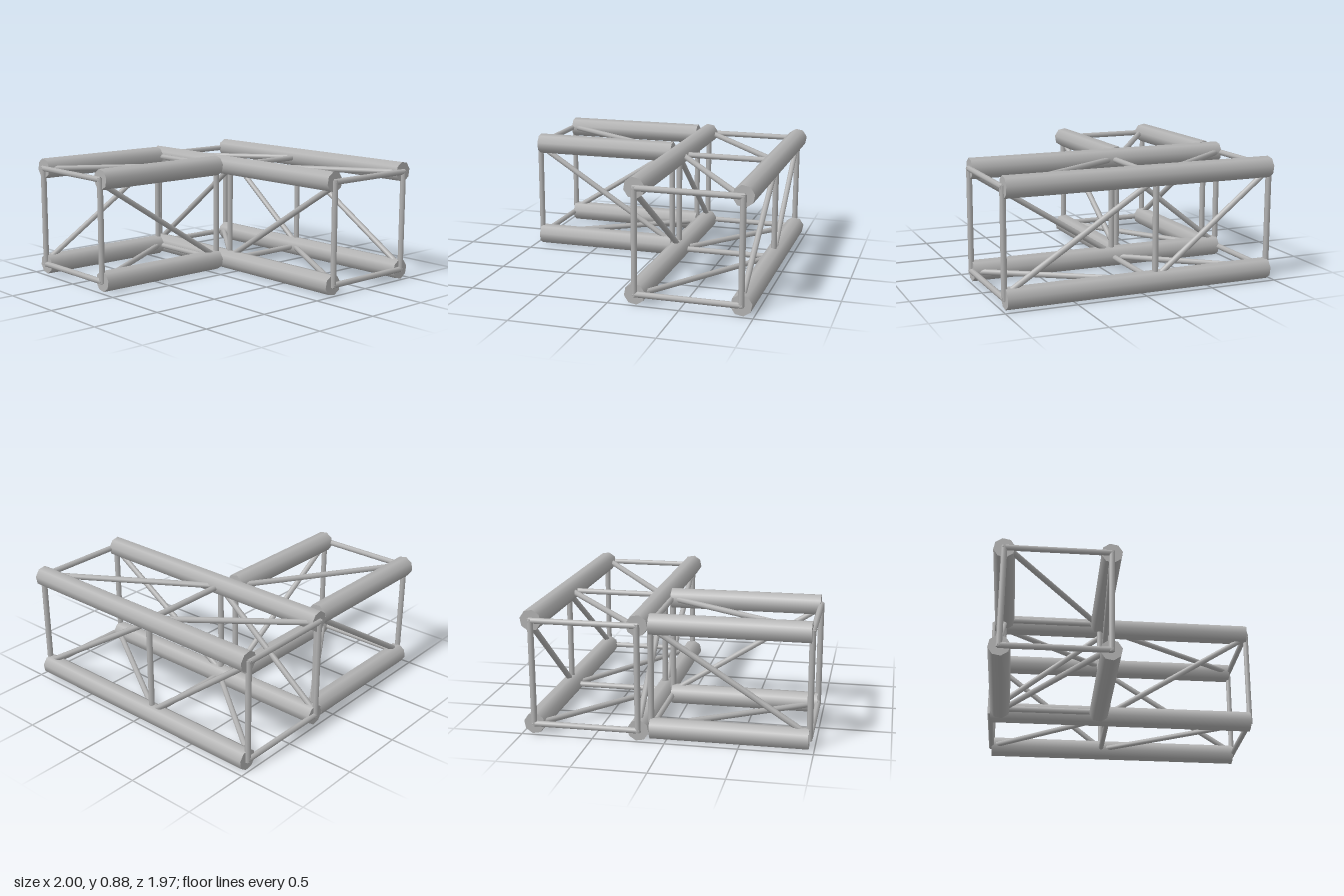
import * as THREE from 'three';

const CHORD = 0.075, STRUT = 0.021;
const Y0 = 0.076, Y1 = 0.807;          // lower and upper chord heights
const ZB = -0.915, ZF = -0.185;        // chord lines of the long truss
const XL = -0.905, XR = -0.175;        // chord lines of the branch truss

export function createModel() {
  const model = new THREE.Group();
  const metal = new THREE.MeshStandardMaterial({ color: 0xb2b2b2 });
  metal.name = 'aluminium';

  // round bar between two points, lengthened at both ends by extra
  function bar(name, parent, a, b, radius, extra = 0) {
    const p = new THREE.Vector3(...a), q = new THREE.Vector3(...b);
    const dir = q.clone().sub(p);
    const geo = new THREE.CylinderGeometry(radius, radius, dir.length() + 2 * extra, 8);
    geo.rotateY(0.2);
    const mesh = new THREE.Mesh(geo, metal);
    mesh.name = name;
    mesh.position.copy(p).add(q).multiplyScalar(0.5);
    mesh.quaternion.setFromUnitVectors(new THREE.Vector3(0, 1, 0), dir.normalize());
    parent.add(mesh);
  }

  // box truss: at(t, s, y) maps length, side and height to a point
  function truss(name, at, stations, sides, chordEnds, lean) {
    const group = new THREE.Group();
    group.name = name;
    const [s0, s1] = sides;

    // four main tubes
    for (const s of sides) for (const y of [Y0, Y1])
      bar('chord', group, at(chordEnds[0], s, y), at(chordEnds[1], s, y), CHORD);

    // square frames
    for (const t of stations) {
      for (const s of sides) bar('upright', group, at(t, s, Y0), at(t, s, Y1), STRUT, 0.013);
      for (const y of [Y0, Y1]) bar('crossbar', group, at(t, s0, y), at(t, s1, y), STRUT, 0.01);
    }

    // one diagonal per face and bay, opposite faces leaning opposite ways
    const inset = 0.022 + 0.012, trim = 0.02;
    for (let i = 0; i + 1 < stations.length; i++) {
      const a = stations[i] + trim, b = stations[i + 1] - trim;
      const lo = Y0 + inset, hi = Y1 - inset, n = s0 + inset, f = s1 - inset;
      bar('topBrace', group, at(a, f, Y1), at(b, n, Y1), STRUT);
      bar('bottomBrace', group, at(a, n, Y0), at(b, f, Y0), STRUT);
      const [rise, fall] = lean > 0 ? [s1, s0] : [s0, s1];
      bar('sideBrace', group, at(a, rise, lo), at(b, rise, hi), STRUT);
      bar('sideBrace', group, at(a, fall, hi), at(b, fall, lo), STRUT);
    }
    model.add(group);
  }

  // long truss along x
  truss('mainTruss', (t, s, y) => [t, y, s],
    [-0.978, -0.102, 0.978], [ZB, ZF], [-0.976, 0.976], 1);

  // branch truss along z
  truss('branchTruss', (t, s, y) => [s, y, t],
    [-0.108, 0.965], [XL, XR], [-0.112, 0.963], 1);

  return model;
}
